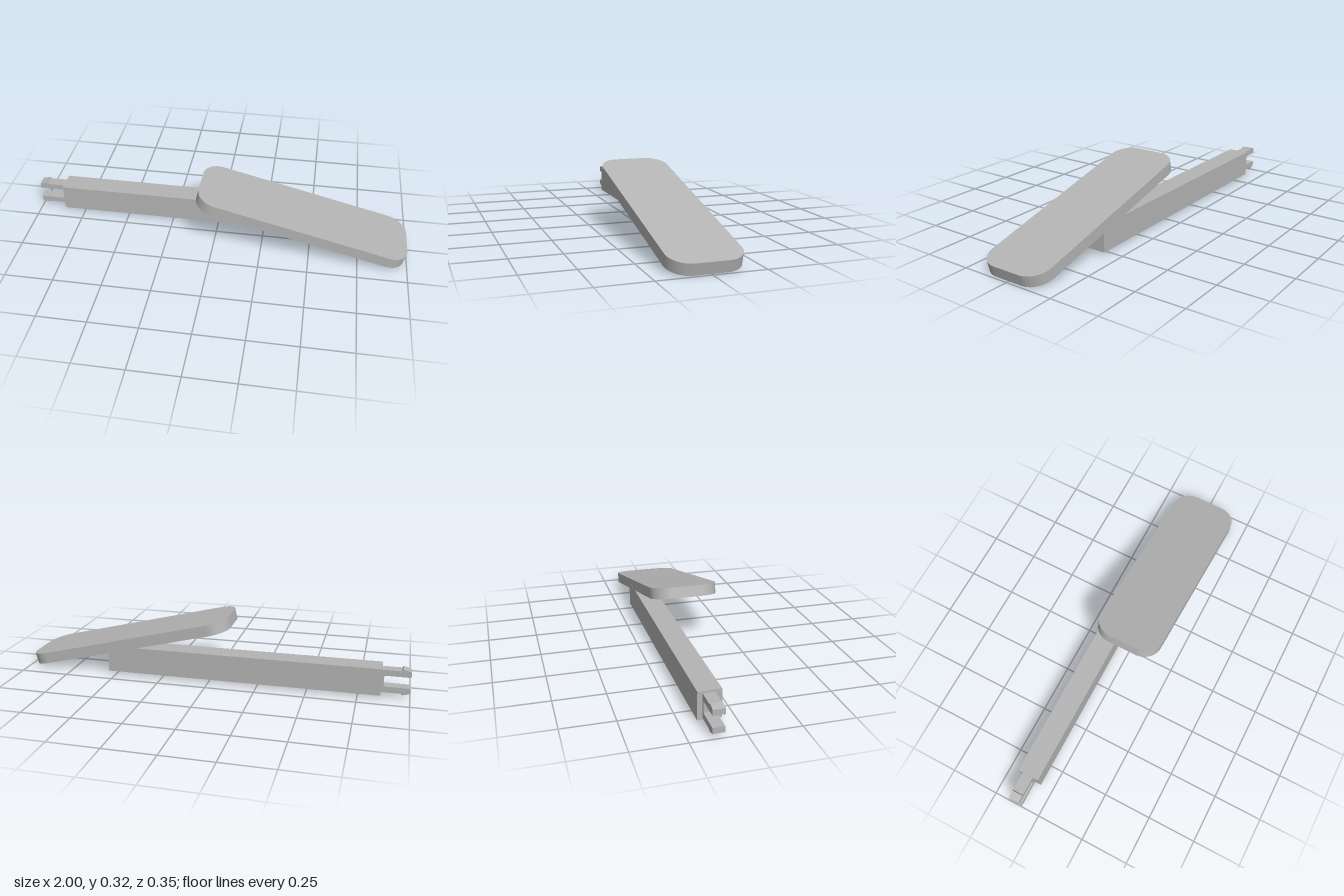
import * as THREE from 'three';
import { toCreasedNormals } from 'three/addons/utils/BufferGeometryUtils.js';

const grey = new THREE.MeshStandardMaterial({ color: 0xb4b4b4 });
grey.name = 'grey plastic';

function part(name, geometry) {
  const mesh = new THREE.Mesh(geometry, grey);
  mesh.name = name;
  return mesh;
}

// Rounded rectangle slab lying flat, centred on the origin
function slab(length, width, thickness, r) {
  const x = length / 2, y = width / 2, s = new THREE.Shape();
  s.absarc(x - r, y - r, r, 0, Math.PI / 2);
  s.absarc(-x + r, y - r, r, Math.PI / 2, Math.PI);
  s.absarc(-x + r, -y + r, r, Math.PI, Math.PI * 1.5);
  s.absarc(x - r, -y + r, r, Math.PI * 1.5, Math.PI * 2);
  s.closePath();
  const g = new THREE.ExtrudeGeometry(s, { depth: thickness, bevelEnabled: false, curveSegments: 16 });
  g.translate(0, 0, -thickness / 2).rotateX(-Math.PI / 2);
  return toCreasedNormals(g, 0.5);
}

export function createModel() {
  const model = new THREE.Group();
  model.name = 'clipArmWithPaddle';
  const midY = 0.084, barZ = -0.12;

  // Straight square arm
  const arm = part('arm', new THREE.BoxGeometry(1.4, 0.137, 0.111));
  arm.position.set(-0.16, midY, barZ);
  model.add(arm);

  // Sloping paddle
  const paddle = part('paddle', slab(1.111, 0.35, 0.057, 0.1));
  paddle.position.set(0.453, 0.164, 0);
  paddle.rotation.z = -Math.atan(0.25);
  model.add(paddle);

  // U-shaped clip with a barb on the outside of each prong
  const half = [[-0.872, 0.028], [-1, 0.028], [-1, 0.056], [-0.96, 0.066], [-0.955, 0.058], [-0.85, 0.058]];
  const outline = [...half, ...half.map(([x, y]) => [x, -y]).reverse()];
  const clipShape = new THREE.Shape(outline.map(([x, y]) => new THREE.Vector2(x, y)));
  const clip = part('clip', new THREE.ExtrudeGeometry(clipShape, { depth: 0.056, bevelEnabled: false }));
  clip.position.set(0, midY, barZ - 0.028 - 0.004);
  model.add(clip);

  return model;
}
